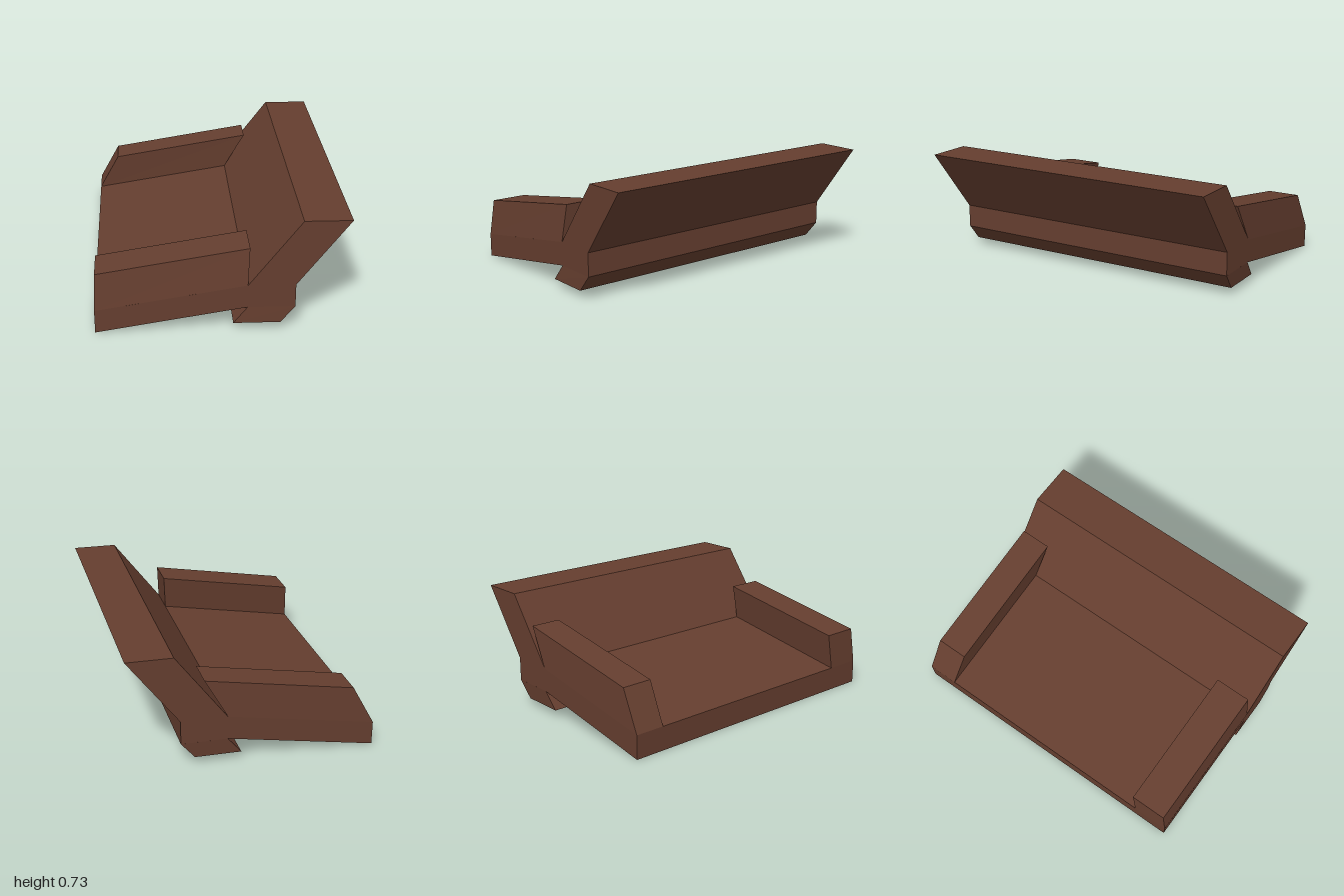
import * as THREE from 'three';

// Prism from a counter-clockwise xy profile; each corner is [x, y, zBack, zFront].
function prism(corners) {
  const outline = corners.map(([x, y]) => new THREE.Vector2(x, y));
  const back = corners.map(([x, y, z]) => [x, y, z]);
  const front = corners.map(([x, y, , z]) => [x, y, z]);
  const positions = [];
  const tri = (a, b, c) => positions.push(...a, ...b, ...c);
  for (const [a, b, c] of THREE.ShapeUtils.triangulateShape(outline, [])) {
    tri(front[a], front[b], front[c]);
    tri(back[c], back[b], back[a]);
  }
  for (let i = 0; i < corners.length; i++) {
    const j = (i + 1) % corners.length;
    tri(back[i], back[j], front[j]);
    tri(back[i], front[j], front[i]);
  }
  const geometry = new THREE.BufferGeometry();
  geometry.setAttribute('position', new THREE.Float32BufferAttribute(positions, 3));
  geometry.computeVertexNormals();
  return geometry;
}

// Full-width profile, slightly skewed so both ends drift along z with x.
const fullWidth = (points) =>
  points.map(([x, y]) => [x, y, -0.9775 + 0.029 * x, 0.9775 + 0.029 * x]);

export function createModel() {
  const group = new THREE.Group();
  const brown = new THREE.MeshStandardMaterial({ color: 0x653e2f });
  brown.name = 'brown upholstery';

  const add = (name, geometry) => {
    const mesh = new THREE.Mesh(geometry, brown);
    mesh.name = name;
    group.add(mesh);
    return mesh;
  };

  // Sloping seat with its level rear block
  add('seat', prism(fullWidth([
    [-0.765, 0], [0.157, 0.157], [0.445, 0.157],
    [0.445, 0.307], [0.157, 0.307], [-0.765, 0.152],
  ])));

  // Reclined backrest
  add('backrest', prism(fullWidth([
    [0.157, 0.307], [0.445, 0.307], [0.765, 0.73], [0.478, 0.73],
  ])));

  // Slanted rear foot
  add('rearFoot', prism([
    [0.07, 0.05, -0.965, 0.985], [0.357, 0.05, -0.957, 0.992],
    [0.445, 0.157, -0.965, 0.99], [0.157, 0.157, -0.973, 0.982],
  ]));

  // Arm leaning inward at the +z end
  add('frontArm', prism([
    [-0.765, 0.152, 0.72, 0.955], [0.157, 0.307, 0.745, 0.982],
    [0.17, 0.54, 0.715, 0.95], [-0.755, 0.385, 0.69, 0.925],
  ]));

  // Arm leaning rearward at the -z end
  add('backArm', prism([
    [-0.765, 0.152, -1, -0.8], [0.157, 0.307, -0.973, -0.773],
    [0.297, 0.555, -0.957, -0.755], [-0.63, 0.4, -0.983, -0.778],
  ]));

  // Small central support under the seat
  const support = add('centreSupport', new THREE.BoxGeometry(0.49, 0.11, 0.17));
  support.position.set(-0.225, 0.075, -0.025);

  return group;
}
